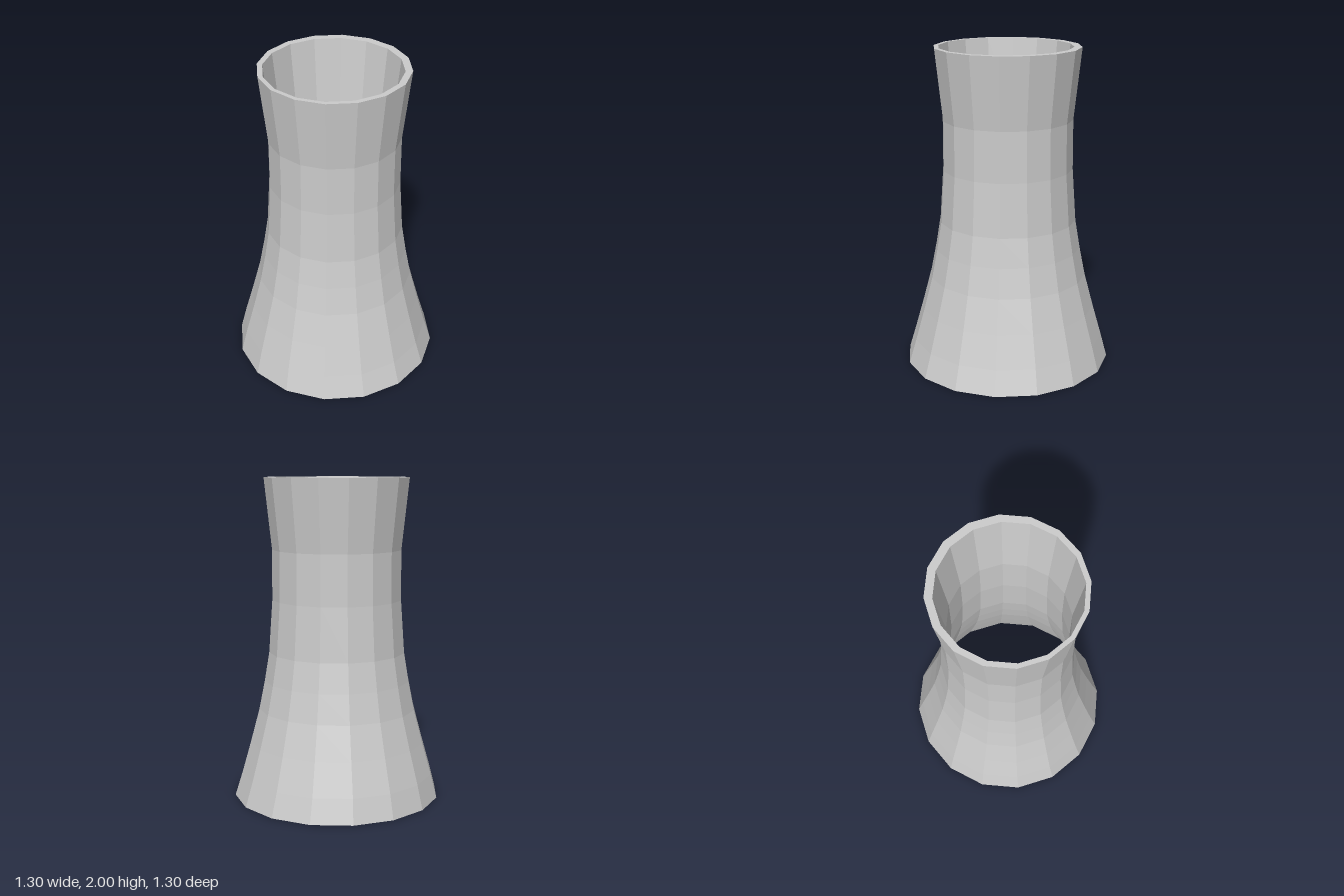
import * as THREE from 'three';

const SIDES = 16;
const WALL = 0.038;

// Outer profile from base to rim: [radius, height]
const PROFILE = [
  [0.651, 0], [0.608, 0.15], [0.551, 0.35], [0.495, 0.56], [0.459, 0.74],
  [0.429, 0.92], [0.406, 1.25], [0.404, 1.56], [0.451, 2],
];

const material = new THREE.MeshStandardMaterial({ color: 0xcccccc, flatShading: true });

function addMesh(parent, geometry, name) {
  const mesh = new THREE.Mesh(geometry, material);
  mesh.name = name;
  parent.add(mesh);
  return mesh;
}

export function createModel() {
  const group = new THREE.Group();
  group.name = 'coolingTower';

  // Hollow faceted shell: up the outside, over the rim, down the inside, closed at the foot
  const outside = PROFILE.map(([r, y]) => new THREE.Vector2(r, y));
  const inside = PROFILE.map(([r, y]) => new THREE.Vector2(r - WALL, y)).reverse();
  const shell = new THREE.LatheGeometry([...outside, ...inside, outside[0].clone()], SIDES);

  // The bore sits slightly forward, and the upper tower slightly to one side
  const pos = shell.attributes.position;
  const rows = outside.length + inside.length + 1;
  for (let i = 0; i < pos.count; i++) {
    const row = i % rows;
    const isInside = row >= outside.length && row < rows - 1;
    pos.setX(i, pos.getX(i) - (pos.getY(i) > 0 ? 0.008 : 0.003));
    if (isInside) pos.setZ(i, pos.getZ(i) + 0.012);
  }
  shell.computeVertexNormals();
  addMesh(group, shell, 'towerShell');

  // Small inner bracket reaching from the wall, ending in a round pad
  const bracket = new THREE.Group();
  bracket.name = 'innerBracket';
  bracket.position.set(-0.17, 1, -0.02);
  bracket.rotation.y = -0.19;
  addMesh(bracket, new THREE.BoxGeometry(0.23, 0.03, 0.036), 'bracketArm').position.x = -0.115;
  addMesh(bracket, new THREE.CylinderGeometry(0.027, 0.027, 0.03, 12), 'bracketPad');
  group.add(bracket);

  return group;
}
